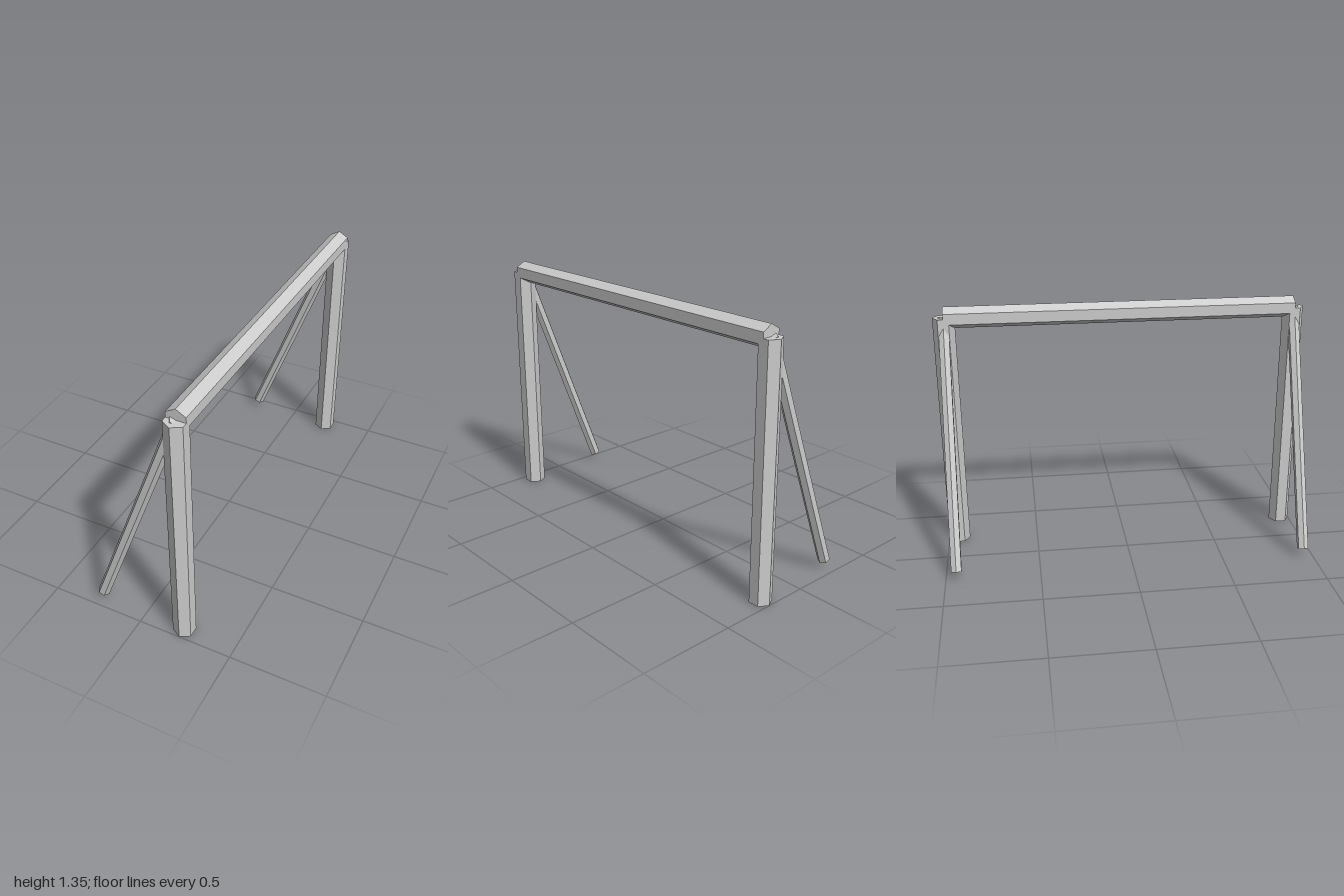
import * as THREE from 'three';

const POST_R = 0.0577, BRACE_R = 0.031;
const POST_X = 0.222, POST_Z = 0.942, TOP = 1.297;

export function createModel() {
  const grey = new THREE.MeshStandardMaterial({ color: 0xcccccc, flatShading: true });
  grey.name = 'lightGrey';
  const group = new THREE.Group();
  group.name = 'supportFrame';

  // Six-sided bar standing on its own middle; turn spins its corners about its axis
  const hexBar = (name, radius, length, turn = 0) => {
    const bar = new THREE.Mesh(
      new THREE.CylinderGeometry(radius, radius, length, 6, 1, false, turn), grey);
    bar.name = name;
    group.add(bar);
    return bar;
  };

  // Crossbeam running front to back, with a corner on top
  const beam = hexBar('crossbeam', POST_R, POST_Z * 2);
  beam.rotation.x = Math.PI / 2;
  beam.position.set(POST_X, TOP, 0);

  // A post and a leaning brace at each end
  const foot = new THREE.Vector2(-0.246, 0.048);
  const head = new THREE.Vector2(POST_X, TOP);
  const lean = Math.atan2(head.x - foot.x, head.y - foot.y);
  for (const [end, side] of [['front', 1], ['back', -1]]) {
    const post = hexBar(end + 'Post', POST_R, TOP);
    post.position.set(POST_X, TOP / 2, side * POST_Z);

    const brace = hexBar(end + 'Brace', BRACE_R, foot.distanceTo(head), Math.PI / 6);
    brace.rotation.z = -lean;
    brace.position.set((foot.x + head.x) / 2, (foot.y + head.y) / 2, side * POST_Z);
  }
  return group;
}
